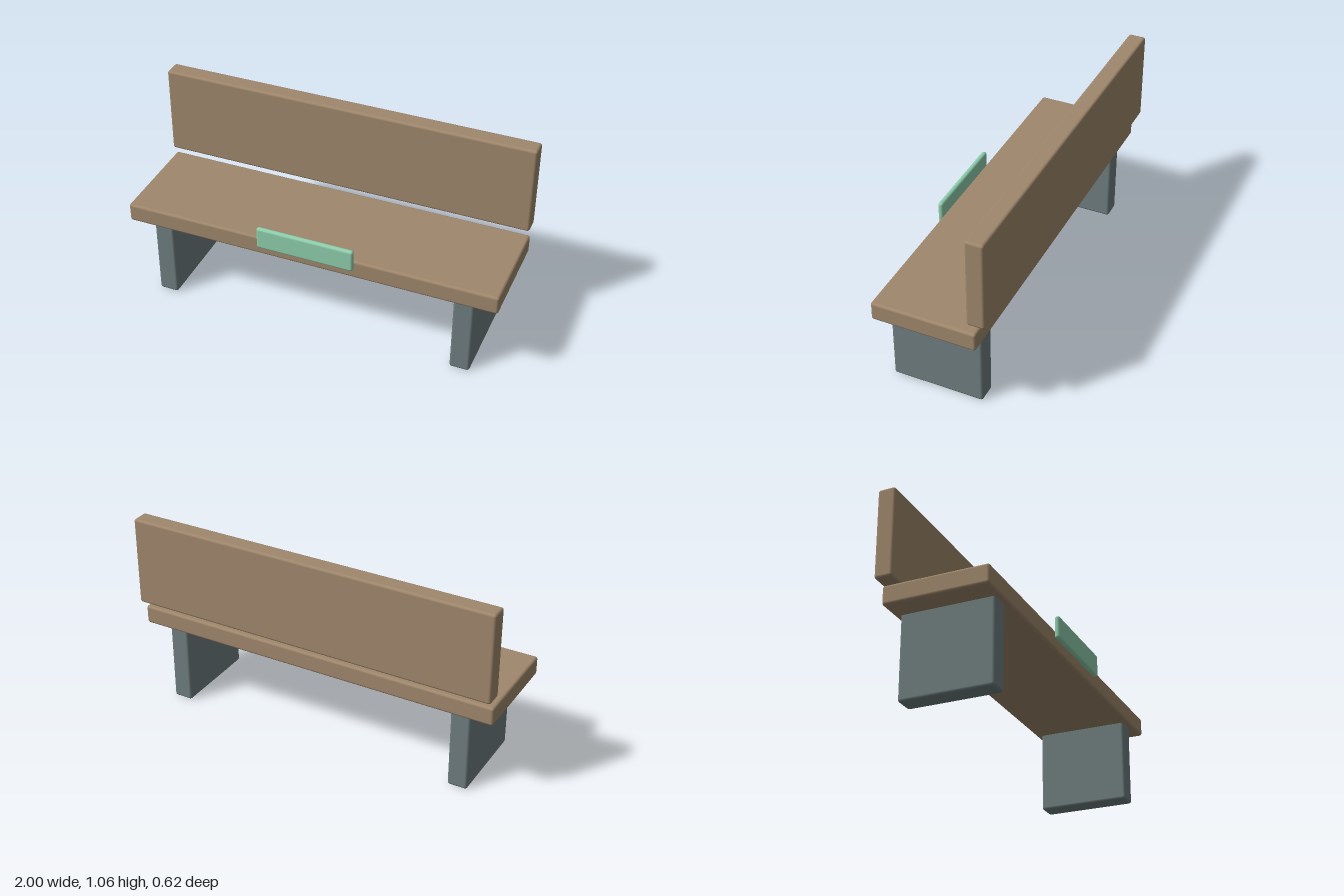
import * as THREE from 'three';
import { RoundedBoxGeometry } from 'three/addons/geometries/RoundedBoxGeometry.js';

export function createModel() {
  const group = new THREE.Group();
  const material = (name, color) => {
    const m = new THREE.MeshStandardMaterial({ color });
    m.name = name;
    return m;
  };
  const wood = material('wood', 0x9f876c);
  const stone = material('stone', 0x6e7d7e);
  const mint = material('mint', 0x8fcead);

  // Softly rounded slab given by its [min, max] extents on each axis
  function slab(name, mat, x, y, z, radius) {
    const size = [x, y, z].map(([a, b]) => b - a);
    const mesh = new THREE.Mesh(new RoundedBoxGeometry(...size, 2, radius), mat);
    mesh.position.set(...[x, y, z].map(([a, b]) => (a + b) / 2));
    mesh.name = name;
    group.add(mesh);
  }

  // Seat and backrest planks
  slab('seat', wood, [-1, 1], [0.437, 0.538], [-0.262, 0.284], 0.014);
  slab('backrest', wood, [-1, 1], [0.585, 1.065], [-0.31, -0.216], 0.014);

  // Slab legs, one at each end
  for (const [name, x] of [['leftLeg', 0.82], ['rightLeg', -0.82]]) {
    slab(name, stone, [x - 0.053, x + 0.053], [0, 0.45], [-0.231, 0.253], 0.014);
  }

  // Plaque on the front edge of the seat
  slab('plaque', mint, [-0.26, 0.26], [0.49, 0.612], [0.282, 0.31], 0.0135);

  return group;
}
